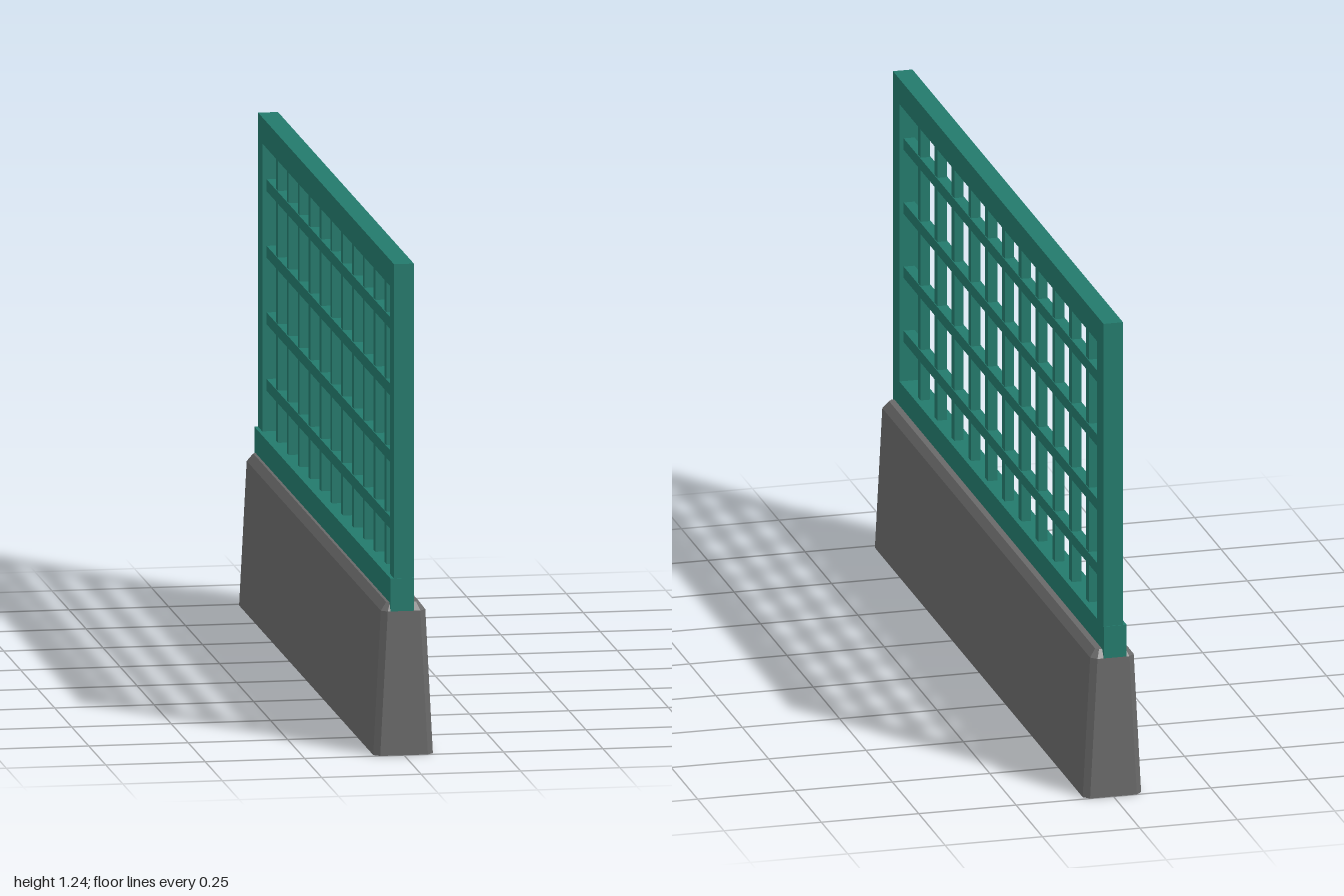
import * as THREE from 'three';

export function createModel() {
  const group = new THREE.Group();
  group.name = 'fenceBarrier';

  const green = new THREE.MeshStandardMaterial({ color: 0x237a6c });
  green.name = 'green paint';
  const grey = new THREE.MeshStandardMaterial({ color: 0x696969, side: THREE.DoubleSide });
  grey.name = 'concrete grey';

  // Box from its limits on each axis
  function box(name, x0, x1, y0, y1, z0, z1) {
    const mesh = new THREE.Mesh(new THREE.BoxGeometry(x1 - x0, y1 - y0, z1 - z0), green);
    mesh.position.set((x0 + x1) / 2, (y0 + y1) / 2, (z0 + z1) / 2);
    mesh.name = name;
    group.add(mesh);
  }

  // Tapered hollow base: stacked rectangles with cut corners, open underneath
  const ring = (y, x, z, cut) => [
    [x, y, z - cut], [x, y, cut - z], [x - cut, y, -z], [cut - x, y, -z],
    [-x, y, cut - z], [-x, y, z - cut], [cut - x, y, z], [x - cut, y, z],
  ];
  const rings = [
    ring(0, 0.075, 1, 0.015),
    ring(0.364, 0.056, 1, 0.015),
    ring(0.384, 0.041, 0.985, 0.008),
  ];
  const points = [];
  for (let r = 0; r < rings.length - 1; r++) {
    for (let i = 0; i < 8; i++) {
      const j = (i + 1) % 8;
      const [a, b, c, d] = [rings[r][i], rings[r][j], rings[r + 1][j], rings[r + 1][i]];
      points.push(...a, ...b, ...c, ...a, ...c, ...d);
    }
  }
  const top = rings[2];
  for (let i = 1; i < 7; i++) points.push(...top[0], ...top[i], ...top[i + 1]);
  const baseGeometry = new THREE.BufferGeometry();
  baseGeometry.setAttribute('position', new THREE.Float32BufferAttribute(points, 3));
  baseGeometry.computeVertexNormals();
  const base = new THREE.Mesh(baseGeometry, grey);
  base.name = 'base';
  group.add(base);

  // Frame: the bottom rail stands proud on one side
  box('bottomRail', -0.034, 0.025, 0.364, 0.447, -1, 1);
  box('topRail', -0.025, 0.025, 1.174, 1.24, -0.998, 0.998);
  box('frontStile', -0.025, 0.025, 0.447, 1.174, 0.937, 0.998);
  box('backStile', -0.025, 0.025, 0.447, 1.174, -0.998, -0.937);

  // Lattice of upright and level bars
  for (let i = -5; i <= 5; i++) {
    const z = i * 0.1594;
    box('uprightBar', -0.012, 0.012, 0.447, 1.174, z - 0.0135, z + 0.0135);
  }
  for (let i = 0; i < 4; i++) {
    const y = 0.564 + i * 0.168;
    box('levelBar', -0.014, 0.014, y - 0.015, y + 0.015, -0.937, 0.937);
  }
  return group;
}
